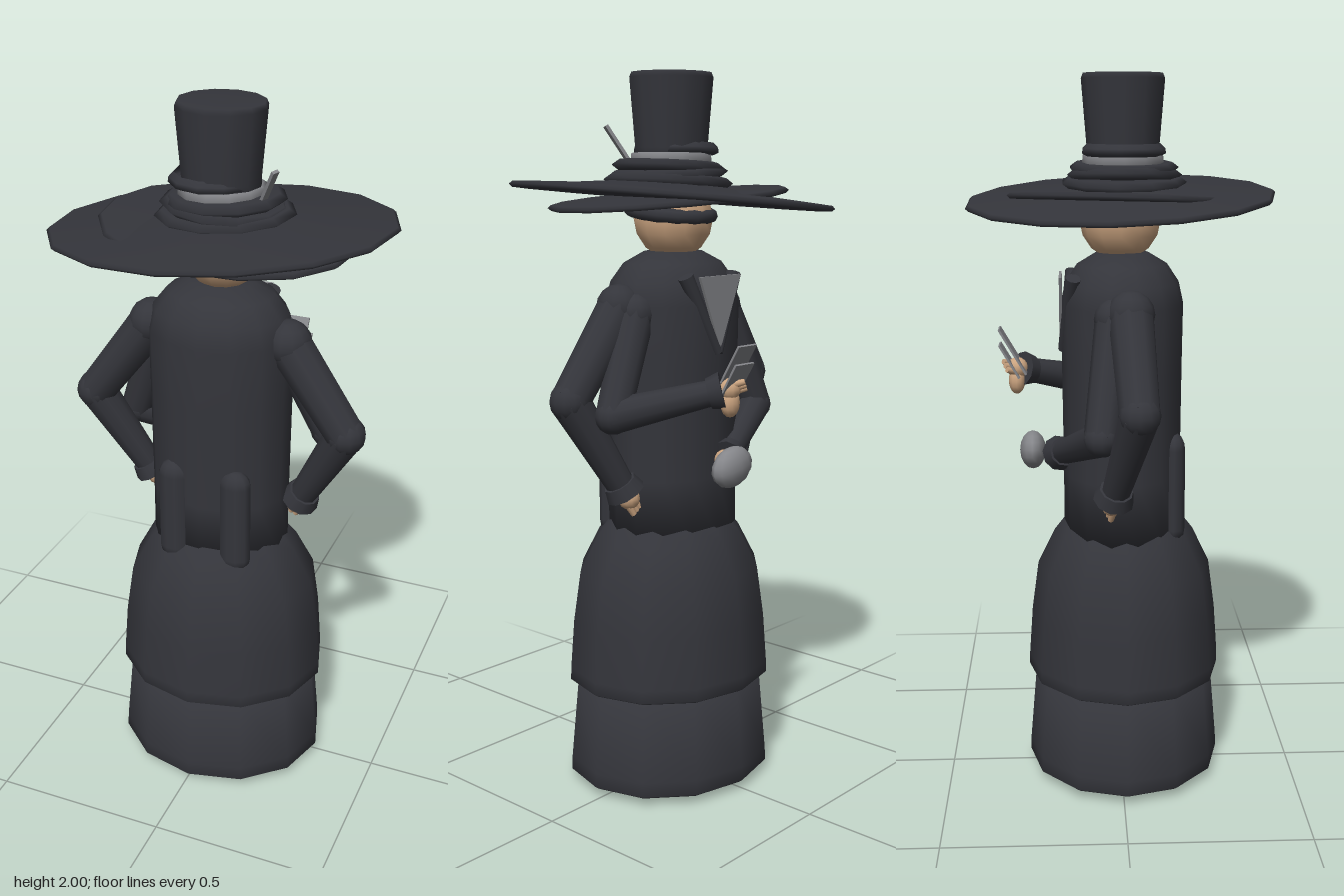
import * as THREE from 'three';

const mat = (name, color) => {
  const m = new THREE.MeshStandardMaterial({ color, side: THREE.DoubleSide });
  m.name = name;
  return m;
};
const V = (x, y, z) => new THREE.Vector3(x, y, z);

export function createModel() {
  const root = new THREE.Group();
  const cloth = mat('black cloth', 0x34353b);
  const skin = mat('skin', 0xcba480);
  const grey = mat('grey metal and linen', 0x85868a);

  const add = (name, geo, material, parent = root) => {
    const m = new THREE.Mesh(geo, material);
    m.name = name;
    parent.add(m);
    return m;
  };
  // lathe with an elliptical plan
  const lathe = (name, pts, sides, zScale, material = cloth, parent = root) => {
    const g = new THREE.LatheGeometry(pts.map(p => new THREE.Vector2(...p)), sides);
    g.scale(1, 1, zScale);
    return add(name, g, material, parent);
  };
  // tapered tube between two points
  const limb = (name, a, b, ra, rb, material, parent) => {
    const m = add(name, new THREE.CylinderGeometry(rb, ra, a.distanceTo(b), 10), material, parent);
    m.position.copy(a).lerp(b, 0.5);
    m.quaternion.setFromUnitVectors(V(0, 1, 0), b.clone().sub(a).normalize());
    return m;
  };
  const ball = (name, p, r, material, parent, s = [1, 1, 1]) => {
    const m = add(name, new THREE.SphereGeometry(r, 12, 8), material, parent);
    m.position.copy(p);
    m.scale.set(...s);
    return m;
  };

  // skirt in two tiers
  const skirt = new THREE.Group();
  skirt.name = 'skirt';
  skirt.position.set(0.01, 0, 0.01);
  root.add(skirt);
  lathe('lowerSkirt', [[0, 0.02], [0.295, 0.02], [0.31, 0.03], [0.308, 0.07], [0.285, 0.31], [0, 0.34]], 12, 0.9, cloth, skirt);
  lathe('upperSkirt', [[0.27, 0.31], [0.295, 0.297], [0.309, 0.305], [0.308, 0.34], [0.297, 0.48], [0.276, 0.62],
    [0.222, 0.72], [0.17, 0.78], [0, 0.79]], 12, 0.9, cloth, skirt);

  // shoe tips under the hem
  for (const x of [-0.1, 0.1]) ball('shoe', V(x, 0.02, 0.01), 0.04, grey, root, [0.8, 0.5, 1.1]);

  // coat body with rounded shoulders
  const coat = lathe('coat', [[0, 0.7], [0.2, 0.725], [0.2, 0.9], [0.203, 1.2], [0.206, 1.38], [0.19, 1.44],
    [0.15, 1.49], [0.09, 1.52], [0, 1.525]], 14, 0.83);
  coat.position.z = 0.005;

  // coat tails hanging at the +z side
  for (const x of [-0.083, 0.1]) {
    const tail = add('coatTail', new THREE.CapsuleGeometry(0.046, 0.23, 4, 10), cloth);
    tail.position.set(x, 0.865, 0.145);
    tail.scale.z = 0.75;
  }

  // shirt front and lapels
  const v = new THREE.Shape([[-0.085, 1.46], [0, 1.26], [0.085, 1.46]].map(p => new THREE.Vector2(...p)));
  const shirt = add('shirtFront', new THREE.ExtrudeGeometry(v, { depth: 0.008, bevelEnabled: false }), grey);
  shirt.position.z = -0.17;
  for (const s of [-1, 1])
    limb('lapel', V(0, 1.25, -0.16), V(s * 0.1, 1.46, -0.13), 0.014, 0.022, cloth, root);

  // arm: shoulder, elbow, wrist, then cuff and hand
  const arm = (name, shoulder, elbow, wrist, r) => {
    const g = new THREE.Group();
    g.name = name;
    root.add(g);
    ball('shoulder', shoulder, r * 1.05, cloth, g);
    limb('upperSleeve', shoulder, elbow, r, r * 0.88, cloth, g);
    ball('elbow', elbow, r * 0.9, cloth, g);
    limb('lowerSleeve', elbow, wrist, r * 0.88, r * 0.62, cloth, g);
    const d = wrist.clone().sub(elbow).normalize();
    const at = t => wrist.clone().addScaledVector(d, t);
    limb('cuff', at(-0.025), at(0.012), r * 0.75, r * 0.92, cloth, g);
    ball('palm', at(0.03), 0.031, skin, g);
    const across = d.clone().cross(V(0.3, 0.2, 1)).normalize();
    for (let i = -1; i <= 1; i++) {
      const k = at(0.04).addScaledVector(across, i * 0.016);
      limb('finger', k, k.clone().addScaledVector(d, 0.035), 0.011, 0.008, skin, g);
    }
  };
  for (const s of [-1, 1])
    arm('hipArm', V(s * 0.2, 1.375, 0.02), V(s * 0.375, 1.14, 0.035), V(s * 0.235, 0.885, -0.025), 0.062);
  arm('raisedArm', V(0.18, 1.36, -0.02), V(0.3, 1.1, -0.05), V(0.13, 1.17, -0.27), 0.055);
  arm('carryingArm', V(-0.18, 1.36, -0.02), V(-0.29, 1.06, -0.06), V(-0.035, 0.96, -0.17), 0.055);

  // palm of the raised hand and the two plates it holds
  ball('raisedHand', V(0.11, 1.14, -0.295), 0.03, skin, root, [1, 1.3, 0.8]);
  [[1.23, -0.305, 0.15], [1.2, -0.315, 0.11]].forEach(([y, z, h], i) => {
    const p = add('heldPlate', new THREE.BoxGeometry(0.075, h, 0.006), grey);
    p.position.set(0.1 + i * 0.01, y, z);
    p.rotation.x = -0.53;
  });

  // rounded object in the lower hand
  const orb = ball('heldOrb', V(0.045, 0.95, -0.25), 0.06, grey, root, [1.25, 0.92, 0.62]);
  orb.rotation.z = -0.2;

  // head and the roll beneath the hat
  ball('head', V(0.005, 1.61, 0), 0.112, skin, root, [1, 1, 1]);
  const roll = add('hatRoll', new THREE.TorusGeometry(0.112, 0.02, 8, 14).rotateX(Math.PI / 2), cloth);
  roll.position.set(0.005, 1.627, 0.01);
  roll.rotation.x = -0.12;

  // hat
  const hat = new THREE.Group();
  hat.name = 'hat';
  root.add(hat);
  const brim = lathe('wideBrim', [[0, -0.012], [0.3, -0.008], [0.465, -0.008], [0.474, 0], [0.465, 0.008],
    [0.3, 0.018], [0.15, 0.035], [0, 0.04]], 15, 0.9, cloth, hat);
  brim.position.y = 1.668;
  brim.rotation.set(-0.035, 0, 0.075);
  const under = lathe('innerBrim', [[0, -0.015], [0.34, -0.008], [0.35, 0], [0.34, 0.008], [0, 0.02]], 15, 0.9, cloth, hat);
  under.position.set(0.02, 1.664, 0);
  under.rotation.set(0.03, 0, -0.075);
  // stacked folds around the crown: radius, height, tilt
  for (const [r, y, tilt] of [[0.17, 1.71, 0.05], [0.155, 1.73, -0.06], [0.145, 1.75, 0.05]]) {
    const f = lathe('hatFold', [[0, -0.014], [r, -0.014], [r + 0.02, 0], [r, 0.014], [0, 0.016]], 11, 0.92, cloth, hat);
    f.position.set(0.015, y, 0.01);
    f.rotation.z = tilt;
  }
  const crown = lathe('crown', [[0, 1.72], [0.105, 1.72], [0.106, 1.8], [0.122, 1.985], [0.116, 1.999], [0, 1.995]], 12, 0.93, cloth, hat);
  crown.position.set(0.003, 0, 0.008);
  const band = lathe('hatBand', [[0.108, 1.758], [0.118, 1.76], [0.115, 1.785], [0.106, 1.787]], 12, 0.95, grey, hat);
  band.position.set(0.005, 0, 0.008);
  const sash = lathe('crownFold', [[0.106, 1.781], [0.122, 1.788], [0.12, 1.802], [0.106, 1.815]], 11, 0.95, cloth, hat);
  sash.position.set(0.005, 0.0, 0.008);
  sash.rotation.z = 0.012;

  // pin tucked into the band
  const pin = add('hatPin', new THREE.BoxGeometry(0.009, 0.11, 0.02), grey, hat);
  pin.position.set(0.155, 1.81, 0.067);
  pin.rotation.set(0.15, -0.5, -0.5);

  return root;
}
